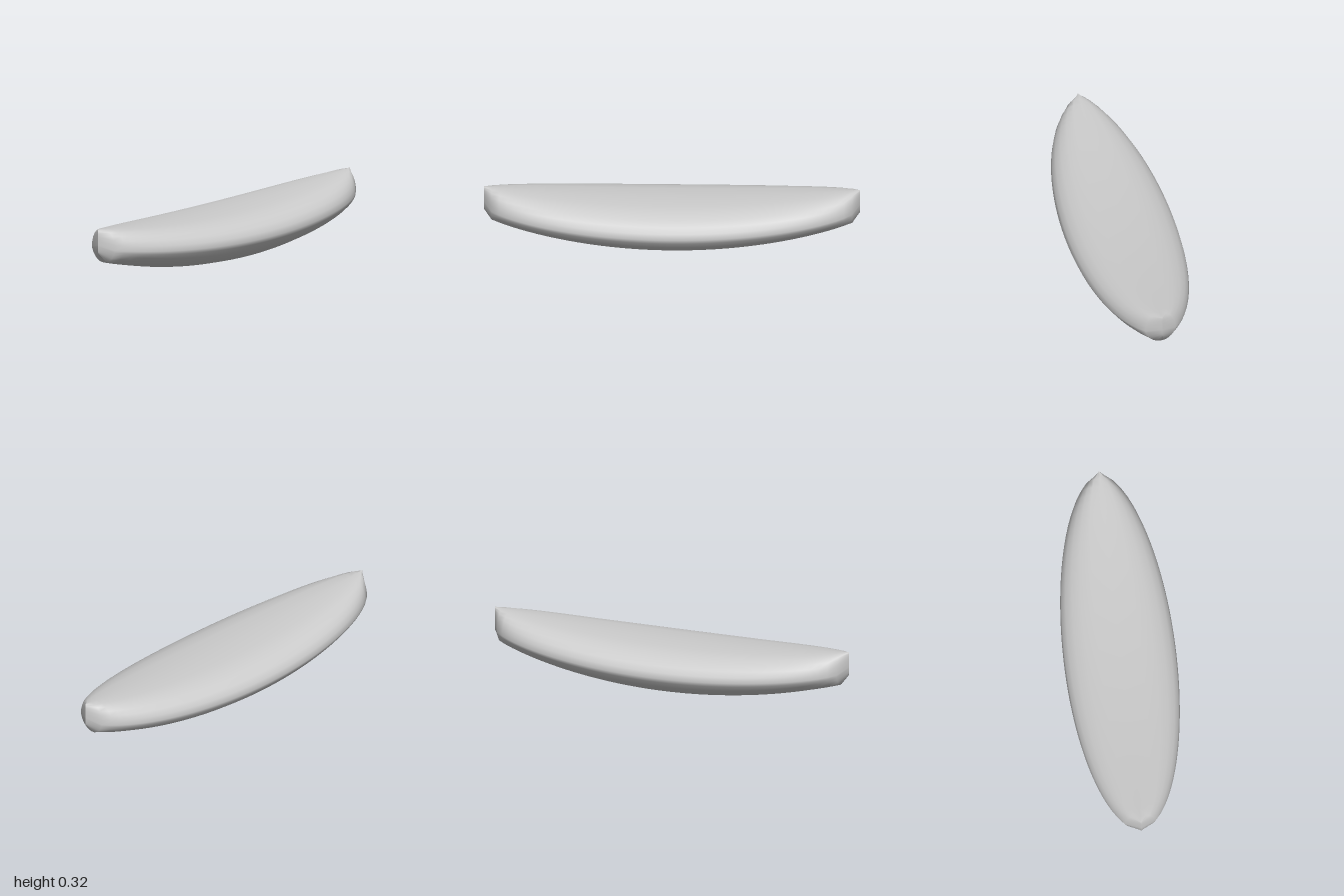
import * as THREE from 'three';

const STATIONS = 48; // cross-sections from stern to bow
const SIDES = 24;    // points around each cross-section

// Half width, keel height, widest height and deck height at z
function station(z) {
  const q = z * z;
  const tip = Math.abs(z) > 0.99;
  return {
    w: tip ? 0 : 0.3 * Math.pow(1 - q, 0.52),
    bottom: tip ? 0.19 : 0.145 * q,
    middle: tip ? 0.235 : 0.15 + 0.065 * q,
    top: 0.27 + 0.05 * q,
  };
}

function hullGeometry() {
  const pos = [], index = [];
  for (let i = 0; i <= STATIONS; i++) {
    const z = -1 + (2 * i) / STATIONS;
    const { w, bottom, middle, top } = station(z);
    for (let j = 0; j < SIDES; j++) {
      const a = (j / SIDES) * Math.PI * 2;
      const c = Math.cos(a), s = Math.sin(a);
      // full, gently crowned deck above; slimmer rounded bilge below
      const x = Math.sign(c) * Math.pow(Math.abs(c), s > 0 ? 0.72 : 0.95) * w;
      const y = s > 0
        ? middle + (top - middle) * s
        : middle - (middle - bottom) * Math.pow(-s, 1.35);
      pos.push(x, y, z);
    }
  }
  for (let i = 0; i < STATIONS; i++) {
    for (let j = 0; j < SIDES; j++) {
      const k = (j + 1) % SIDES;
      const a = i * SIDES + j, b = i * SIDES + k;
      const c = a + SIDES, d = b + SIDES;
      // the pointed ends need only one triangle per side
      if (i > 0) index.push(a, b, c, b, d, c);
      else index.push(a, b, c, b, d, c);
    }
  }
  const g = new THREE.BufferGeometry();
  g.setAttribute('position', new THREE.Float32BufferAttribute(pos, 3));
  g.setIndex(index);
  g.computeVertexNormals();
  return g;
}

export function createModel() {
  const group = new THREE.Group();
  group.name = 'boatHull';
  const grey = new THREE.MeshStandardMaterial({ color: 0xcccccc });
  grey.name = 'light grey';
  const hull = new THREE.Mesh(hullGeometry(), grey);
  hull.name = 'hull';
  group.add(hull);
  return group;
}
